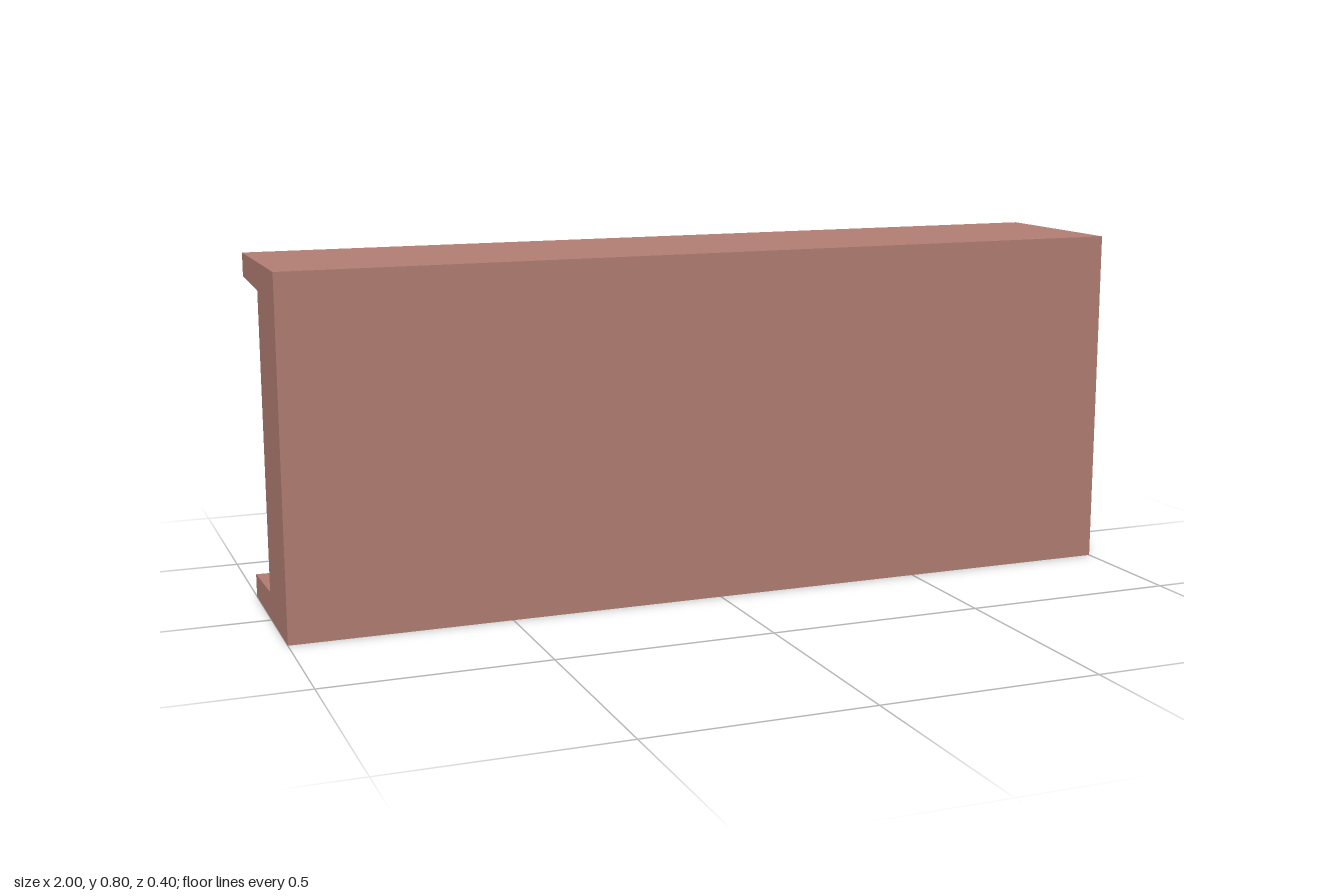
import * as THREE from 'three';

const LENGTH = 2, HEIGHT = 0.8, FRONT = 0.2, BACK = -0.2;
const FRAME_Z = -0.007, PANE_Z = 0.024; // back of the wall, depth of the panes
const LOW = 0.063, LIP = 0.053;         // flange thickness at the wall and at its rim
const BAYS = 4, PANE_W = 0.445, PANE_LOW = 0.095;

const clay = new THREE.MeshStandardMaterial({ color: 0xb47f74 });
const glass = new THREE.MeshStandardMaterial({ color: 0x20272c });

function addMesh(parent, name, geometry, material) {
  const mesh = new THREE.Mesh(geometry, material);
  mesh.name = name;
  parent.add(mesh);
  return mesh;
}

// Closed rectangle path, for outlines and holes
function rectangle(PathType, x0, y0, x1, y1) {
  return new PathType([[x0, y0], [x1, y0], [x1, y1], [x0, y1]].map(([x, y]) => new THREE.Vector2(x, y)));
}

export function createModel() {
  const group = new THREE.Group();
  group.name = 'windowPanel';

  // C-shaped shell: front wall with tapered top and bottom flanges, swept along x
  const lower = [[FRONT, 0], [BACK, 0], [BACK, LIP], [FRAME_Z, LOW], [PANE_Z, LOW]];
  const upper = lower.map(([z, y]) => [z, HEIGHT - y]).reverse();
  const profile = new THREE.Shape([...lower, ...upper].map(([z, y]) => new THREE.Vector2(-z, y)));
  const shell = new THREE.ExtrudeGeometry(profile, { depth: LENGTH, bevelEnabled: false });
  shell.rotateY(Math.PI / 2).translate(-LENGTH / 2, 0, 0);
  addMesh(group, 'channelShell', shell, clay);

  // Window frame with one opening per bay, and a dark pane behind each
  const outline = rectangle(THREE.Shape, -LENGTH / 2, LOW, LENGTH / 2, HEIGHT - LOW);
  for (let i = 0; i < BAYS; i++) {
    const x = (i + 0.5) * LENGTH / BAYS - LENGTH / 2;
    outline.holes.push(rectangle(THREE.Path, x - PANE_W / 2, PANE_LOW, x + PANE_W / 2, HEIGHT - PANE_LOW));
    const pane = new THREE.BoxGeometry(PANE_W, HEIGHT - 2 * PANE_LOW, 0.004);
    addMesh(group, 'windowPane', pane, glass).position.set(x, HEIGHT / 2, PANE_Z);
  }
  const frame = new THREE.ExtrudeGeometry(outline, { depth: PANE_Z - FRAME_Z, bevelEnabled: false });
  addMesh(group, 'windowFrame', frame, clay).position.z = FRAME_Z;

  return group;
}
